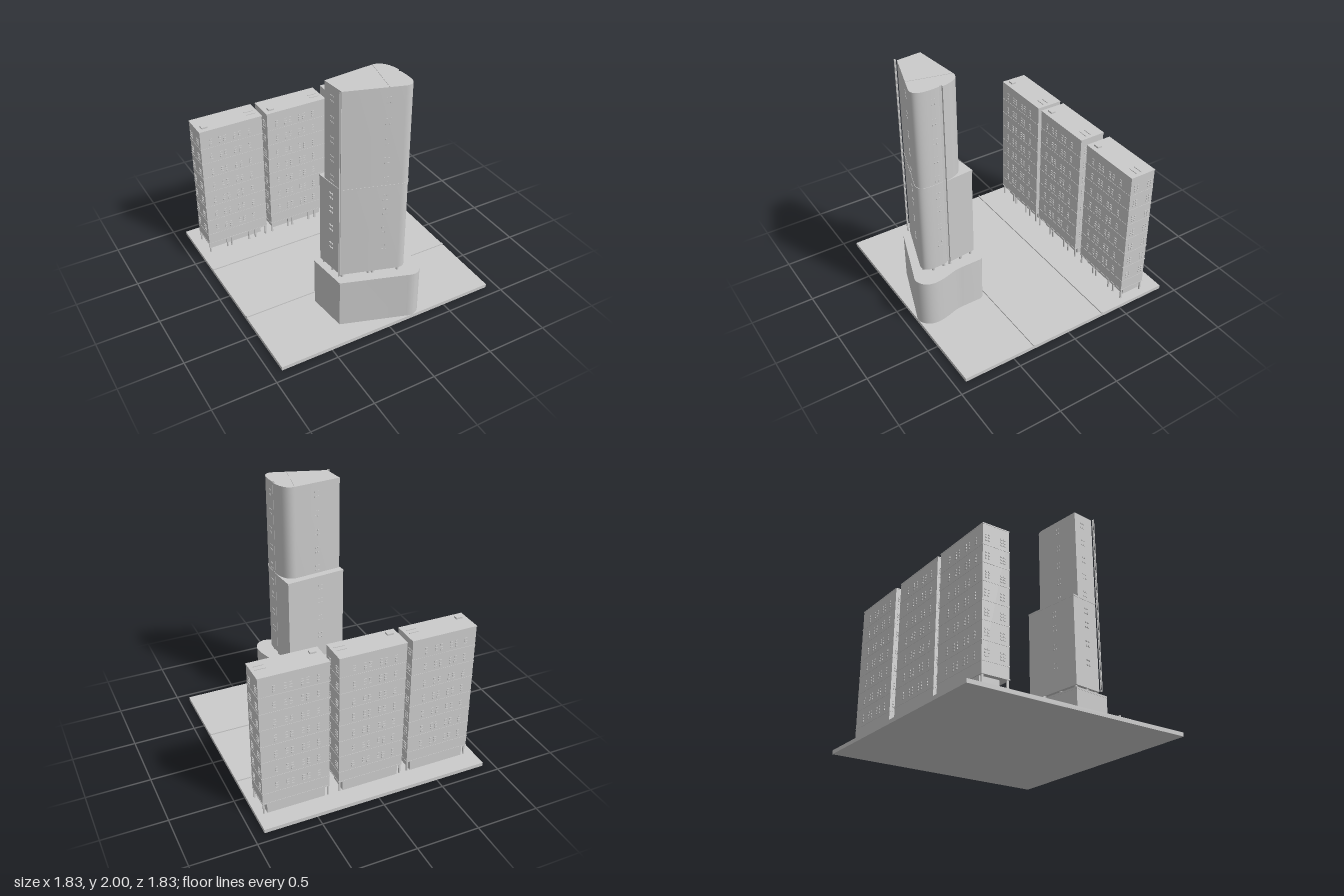
import * as THREE from 'three';
import { mergeGeometries, toCreasedNormals } from 'three/addons/utils/BufferGeometryUtils.js';

const mat = new THREE.MeshStandardMaterial({ color: 0xcccccc });

// Box geometry given by its centre, size and optional turn about y
function box(x, y, z, w, h, d, turn = 0) {
  return new THREE.BoxGeometry(w, h, d).rotateY(turn).translate(x, y, z);
}

function add(parent, name, geo) {
  const parts = Array.isArray(geo) ? geo : [geo];
  const mesh = new THREE.Mesh(parts.length > 1 ? mergeGeometries(parts) : parts[0], mat);
  mesh.name = name;
  parent.add(mesh);
  return mesh;
}

// Closed plan outline: [x, z] is a straight step, [cx, cz, x, z] a curved one
function plan(steps) {
  const s = new THREE.Shape();
  steps.forEach((p, i) => {
    if (i === 0) s.moveTo(p[0], -p[1]);
    else if (p.length === 2) s.lineTo(p[0], -p[1]);
    else s.quadraticCurveTo(p[0], -p[1], p[2], -p[3]);
  });
  s.closePath();
  return s;
}

// Vertical prism over a plan, with an optional overhang around its centre
function prism(steps, y0, y1, grow = 1, cx = 0, cz = 0) {
  const g = new THREE.ExtrudeGeometry(plan(steps), { depth: y1 - y0, bevelEnabled: false, curveSegments: 10 });
  g.rotateX(-Math.PI / 2).translate(-cx, y0, -cz).scale(grow, 1, grow).translate(cx, 0, cz);
  return toCreasedNormals(g, 0.5);
}

// Small window of 2 x 2 panes on a wall facing direction `turn`
function panes(x, y, z, turn, cols = [-0.012, 0.012], rows = [-0.02, 0.02], w = 0.014) {
  const out = [];
  for (const c of cols) for (const r of rows) {
    out.push(box(x + c * Math.cos(turn), y + r, z - c * Math.sin(turn), w, 0.011, 0.01, turn));
  }
  return out;
}

function createTower() {
  const tower = new THREE.Group();
  tower.name = 'tower';

  const podium = [[-0.37, 0.41], [0.19, 0.345], [0.25, 0.34, 0.255, 0.39], [0.255, 0.55],
    [0.256, 0.6, 0.275, 0.655], [0.3, 0.73, 0.302, 0.79], [0.3, 0.88, 0.225, 0.909],
    [0.195, 0.92, 0.15, 0.9], [-0.335, 0.735]];
  // Rounded front lobe and front wall shared by both shafts
  const lobe = [[0.174, 0.605], [0.174, 0.625], [0.183, 0.63], [0.192, 0.67, 0.19, 0.74],
    [0.185, 0.842, 0.105, 0.822], [-0.305, 0.69]];
  const lower = [[-0.335, 0.44], [0.17, 0.385], [0.19, 0.605], ...lobe];
  const upper = [[-0.325, 0.495], [0.07, 0.455], [0.165, 0.45, 0.19, 0.605], ...lobe];

  add(tower, 'podium', prism(podium, 0.03, 0.425));
  add(tower, 'podiumRim', prism(podium, 0.42, 0.435, 1.008, -0.03, 0.62));
  add(tower, 'lowerShaft', prism(lower, 0.47, 1.215));
  add(tower, 'shaftLedge', prism(lower, 1.212, 1.226, 1.012, -0.06, 0.6));
  add(tower, 'upperShaft', prism(upper, 1.22, 1.997));
  add(tower, 'roofSeam', box(0.035, 1.997, 0.625, 0.004, 0.006, 0.335, -0.21));

  // Stilts carrying the shaft above the podium
  const spots = [[-0.31, 0.455], [-0.28, 0.67], [-0.09, 0.73], [-0.06, 0.74], [-0.15, 0.44], [0.02, 0.42],
    [0.15, 0.405], [0.16, 0.5], [0.17, 0.6], [0.165, 0.65], [0.165, 0.74], [0.12, 0.8], [-0.3, 0.57]];
  add(tower, 'stilts', spots.map(([x, z]) =>
    new THREE.CylinderGeometry(0.011, 0.011, 0.045, 10).translate(x, 0.45, z)));

  // Slender corner fins running the full height
  add(tower, 'cornerFins', [box(-0.325, 1.235, 0.7, 0.007, 1.53, 0.007),
    box(-0.313, 1.235, 0.698, 0.004, 1.53, 0.006)]);

  // Small windows in a single column on each side
  const windows = [];
  for (const y of [0.68, 0.84, 1.0, 1.12, 1.27, 1.43, 1.58, 1.74, 1.9]) {
    const low = y < 1.22;
    windows.push(...panes(0, y, 0.786, -0.31));
    windows.push(...panes(0.187, y, 0.68, Math.PI / 2));
    windows.push(...panes(-0.12, y, low ? 0.417 : 0.475, Math.PI + 0.105));
    windows.push(...panes(low ? -0.321 : -0.315, y, 0.58, -Math.PI / 2 + 0.11));
  }
  add(tower, 'towerWindows', windows);
  return tower;
}

function createApartmentBlock(x) {
  const block = new THREE.Group();
  block.name = 'apartmentBlock';
  block.position.set(x, 0, -0.6525);

  const W = 0.53, D = 0.215;
  add(block, 'walls', box(0, 0.66, 0, W, 1.08, D));
  add(block, 'lobby', box(0, 0.075, -0.025, 0.46, 0.1, 0.155));

  // Floor bands
  const floors = [0.122, 0.21, 0.35, 0.49, 0.63, 0.77, 0.905, 1.04, 1.198];
  add(block, 'floorBands', floors.map(y => box(0, y, 0, W + 0.005, 0.008, D + 0.005)));

  // Ground floor posts along the open front and at the back corners
  const posts = [-0.255, -0.1, -0.06, 0.1, 0.16, 0.255].map(px => box(px, 0.075, 0.097, 0.012, 0.1, 0.012));
  for (const s of [-1, 1]) posts.push(box(s * 0.255, 0.075, -0.097, 0.012, 0.1, 0.012));
  add(block, 'groundPosts', posts);

  // Windows: single, pair, pair, single on the long sides; two on each end
  const windows = [];
  const cols = [-0.012, 0.012];
  for (let i = 1; i < 8; i++) {
    const y = floors[i] + 0.055;
    const rows = i === 5 ? [-0.028, -0.008, 0.012] : [-0.022, 0, 0.022];
    for (const s of [1, -1]) {
      const turn = s > 0 ? 0 : Math.PI;
      for (const wx of [-0.18, -0.08, 0.045, 0.15]) {
        const pair = wx === -0.08 || wx === 0.045;
        windows.push(...panes(wx, y, s * D / 2, turn, pair ? [-0.02, 0.02] : [0], rows, 0.02));
      }
      for (const wz of [-0.07, 0.055]) {
        windows.push(...panes(s * W / 2, y, wz, s * Math.PI / 2, cols, rows));
      }
    }
  }
  add(block, 'blockWindows', windows);

  // Roof hatch and two low vents
  add(block, 'roofHatch', box(-0.205, 1.205, 0.052, 0.05, 0.02, 0.038));
  add(block, 'roofVents', [-0.002, 0.042].map(z => box(0.2, 1.203, z, 0.08, 0.008, 0.006)));
  return block;
}

export function createModel() {
  const model = new THREE.Group();
  model.name = 'cityBlock';

  // Ground slab with two kerbs
  add(model, 'groundSlab', box(0, 0.015, 0, 1.83, 0.03, 1.83));
  for (const z of [-0.325, 0.318]) add(model, 'kerb', box(0, 0.034, z, 1.83, 0.012, 0.014));

  for (const x of [-0.58, -0.005, 0.6]) model.add(createApartmentBlock(x));
  model.add(createTower());
  return model;
}
